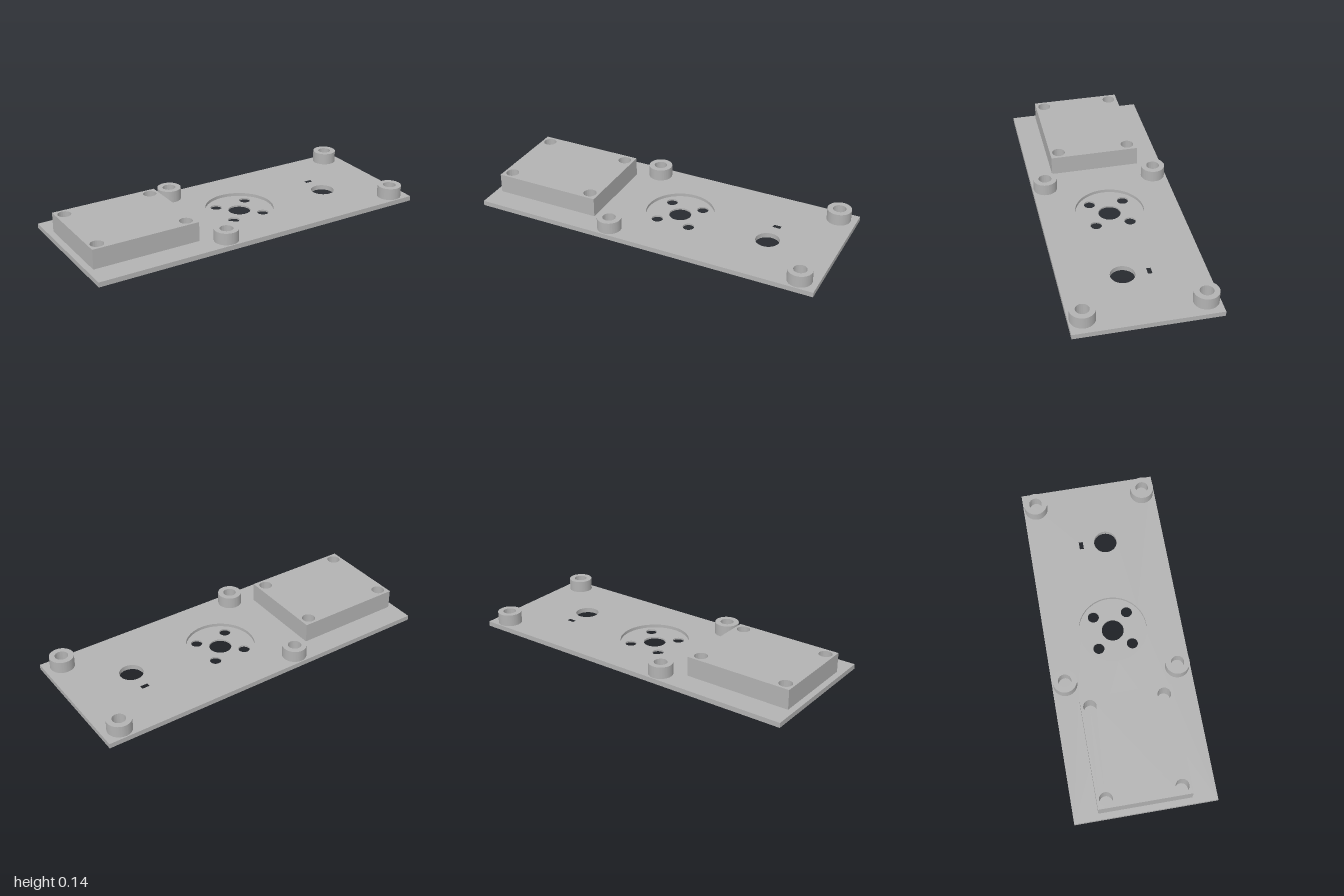
import * as THREE from 'three';
import { toCreasedNormals } from 'three/addons/utils/BufferGeometryUtils.js';

const PLATE = 0.028; // plate thickness
const FLOOR = 0.01;  // floor thickness inside the round recess

// Outlines are drawn in plan: (x, z)
function rect(T, x0, x1, z0, z1) {
  return new T().setFromPoints([[x0, -z0], [x1, -z0], [x1, -z1], [x0, -z1]].map(([x, y]) => new THREE.Vector2(x, y)));
}

function circle(T, x, z, r) {
  const c = new T();
  c.absarc(x, -z, r, 0, Math.PI * 2, false);
  return c;
}

export function createModel() {
  const group = new THREE.Group();
  const grey = new THREE.MeshStandardMaterial({ color: 0xb2b2b2 });
  grey.name = 'grey';

  // Raises a plan outline with holes from y0 to y1
  function slab(name, outline, holes, y0, y1) {
    outline.holes.push(...holes);
    const geo = new THREE.ExtrudeGeometry(outline, { depth: y1 - y0, bevelEnabled: false, curveSegments: 48 });
    geo.rotateX(-Math.PI / 2).translate(0, y0, 0);
    const mesh = new THREE.Mesh(toCreasedNormals(geo, 0.6), grey);
    mesh.name = name;
    group.add(mesh);
  }

  const { Shape, Path } = THREE;
  const corners = (xs, z) => xs.flatMap((x) => [[x, z], [x, -z]]);
  const hubX = 0.067;

  // Base plate with recess opening, round port and small slot
  slab('basePlate', rect(Shape, -1, 1, -0.395, 0.395), [
    circle(Path, hubX, 0, 0.195),
    circle(Path, 0.617, 0.051, 0.067),
    rect(Path, 0.595, 0.639, -0.105, -0.081),
  ], 0, PLATE);

  // Recess floor with centre hole and four bolt holes
  slab('recessFloor', circle(Shape, hubX, 0, 0.195), [
    circle(Path, hubX, 0, 0.063),
    ...corners([hubX - 0.097, hubX + 0.097], 0.097).map(([x, z]) => circle(Path, x, z, 0.032)),
  ], 0, FLOOR);

  // Raised block with four screw holes
  slab('raisedBlock', rect(Shape, -0.965, -0.346, -0.258, 0.258),
    corners([-0.915, -0.398], 0.207).map(([x, z]) => circle(Path, x, z, 0.037)), PLATE, 0.14);

  // Mounting bosses
  for (const [x, z] of corners([-0.215, 0.899], 0.32)) {
    slab('mountingBoss', circle(Shape, x, z, 0.068), [circle(Path, x, z, 0.037)], PLATE, 0.096);
  }

  return group;
}
